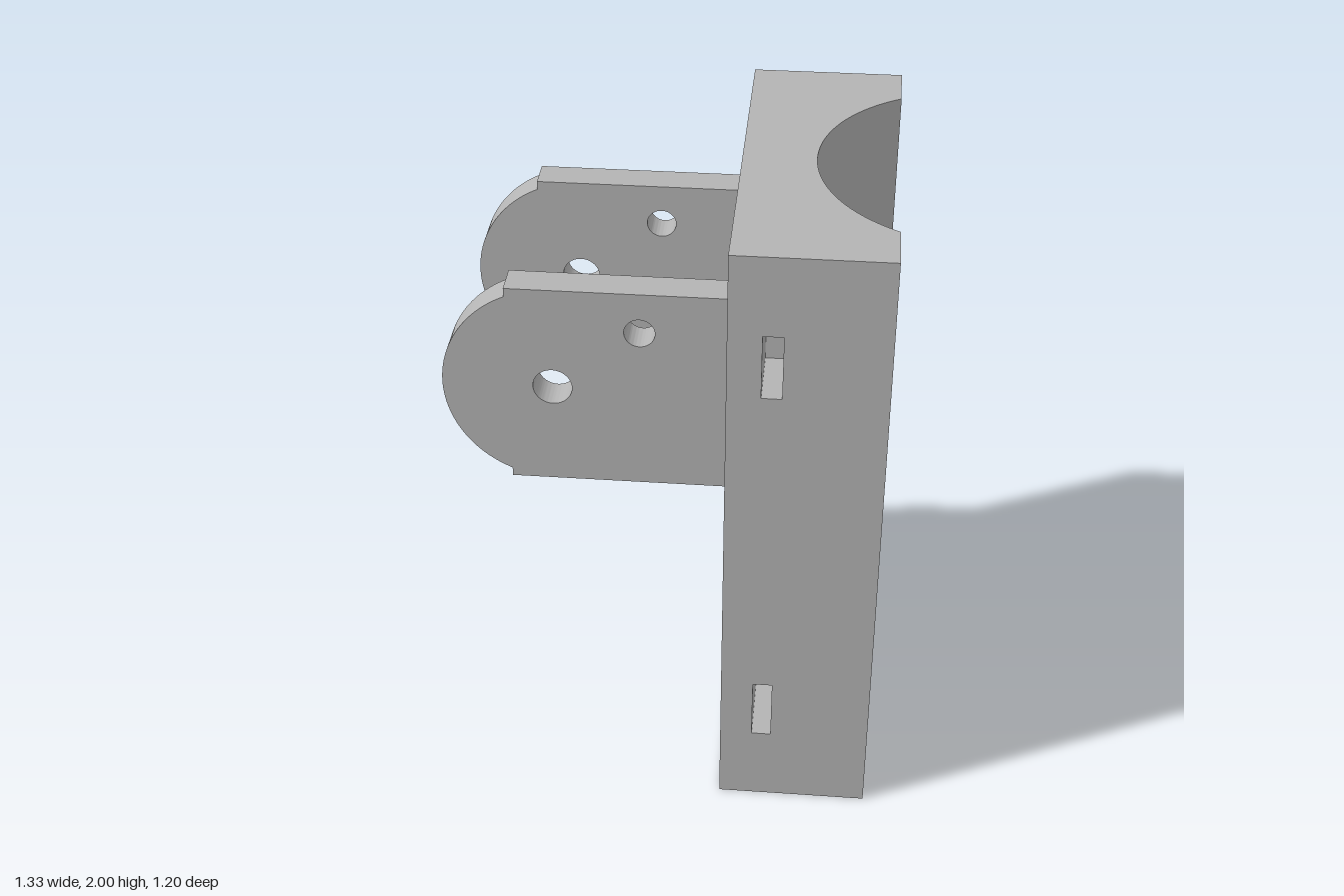
import * as THREE from 'three';
import { toCreasedNormals } from 'three/addons/utils/BufferGeometryUtils.js';

const polygon = (points) => new THREE.Shape(points.map(([x, y]) => new THREE.Vector2(x, y)));
const rectangle = (x0, x1, y0, y1) => polygon([[x0, y0], [x1, y0], [x1, y1], [x0, y1]]);

function circleHole(x, y, r) {
  const path = new THREE.Path();
  path.absarc(x, y, r, 0, Math.PI * 2, true);
  return path;
}

function extrude(shape, depth) {
  const g = new THREE.ExtrudeGeometry(shape, { depth, bevelEnabled: false, curveSegments: 48 });
  return toCreasedNormals(g, 0.4);
}

export function createModel() {
  const group = new THREE.Group();
  const grey = new THREE.MeshStandardMaterial({ color: 0xb4b4b4 });
  grey.name = 'grey';

  const add = (name, geometry) => {
    const mesh = new THREE.Mesh(geometry, grey);
    mesh.name = name;
    group.add(mesh);
    return mesh;
  };

  const halfDepth = 0.602, back = 0.2, front = 0.667, seam = 0.39;

  // Back slab, with two strap slots running right through
  const slab = rectangle(back, seam, 0, 2);
  for (const y of [0.257, 1.54]) slab.holes.push(rectangle(0.3, 0.36, y, y + 0.206));
  add('slottedSlab', extrude(slab, halfDepth * 2)).position.z = -halfDepth;

  // Cradle with a round groove along its full height
  const halfChord = 0.427, sagitta = front - 0.421;
  const radius = (halfChord ** 2 + sagitta ** 2) / (2 * sagitta);
  const angle = Math.asin(halfChord / radius);
  const cradle = new THREE.Shape();
  cradle.moveTo(seam, -halfDepth);
  cradle.lineTo(front, -halfDepth);
  cradle.lineTo(front, -halfChord);
  cradle.absarc(0.421 + radius, 0, radius, Math.PI + angle, Math.PI - angle, true);
  cradle.lineTo(front, halfDepth);
  cradle.lineTo(seam, halfDepth);
  add('groovedCradle', extrude(cradle, 2).rotateX(-Math.PI / 2));

  // Pair of hinge lugs: round nose, small shoulder steps, two pin holes; rooted across the upper slot
  const cx = -0.333, cy = 1.4, r = 0.333, shoulder = -0.467;
  const noseAngle = Math.acos((cx - shoulder) / r);
  const lug = new THREE.Shape();
  lug.moveTo(seam, cy - r);
  lug.lineTo(seam, cy + r);
  lug.lineTo(shoulder, cy + r);
  lug.absarc(cx, cy, r, Math.PI - noseAngle, Math.PI + noseAngle, false);
  lug.lineTo(shoulder, cy - r);
  lug.holes.push(circleHole(cx, cy, 0.059), circleHole(-0.07, 1.602, 0.046));
  const thickness = 0.107;
  const lugGeometry = extrude(lug, thickness);
  for (const [name, z] of [['frontLug', 0.333], ['backLug', -0.335]]) {
    add(name, lugGeometry).position.z = z - thickness / 2;
  }

  return group;
}
